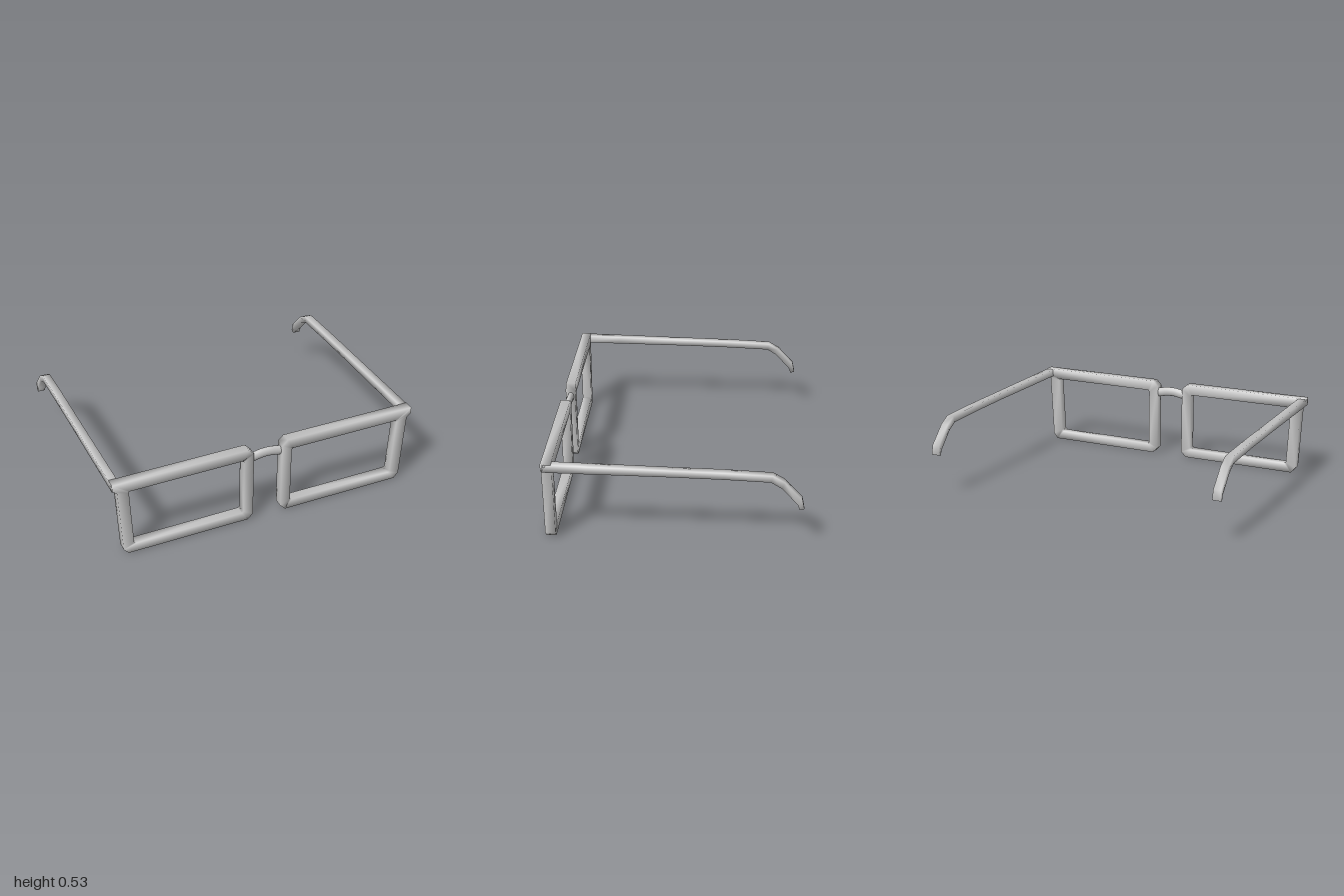
import * as THREE from 'three';

const material = new THREE.MeshStandardMaterial({ color: 0xcccccc });

// Square section in 0..1 by 0..1, counter-clockwise
const SECTION = [[0, 0], [1, 0], [1, 1], [0, 1]];

// Skin a list of equal cross-sections with smooth normals;
// closed joins last to first, otherwise the ends are capped. Flip reverses the winding.
function loft(rings, closed, flip) {
  const n = rings[0].length, count = rings.length, index = [];
  const tri = (a, b, d) => (flip ? index.push(a, d, b) : index.push(a, b, d));
  for (let i = 0; i < (closed ? count : count - 1); i++) {
    const p = i * n, q = ((i + 1) % count) * n;
    for (let j = 0; j < n; j++) {
      const k = (j + 1) % n;
      tri(p + j, p + k, q + j);
      tri(p + k, q + k, q + j);
    }
  }
  if (!closed) {
    const last = (count - 1) * n;
    for (let j = 1; j < n - 1; j++) {
      tri(0, j + 1, j);
      tri(last, last + j, last + j + 1);
    }
  }
  const geometry = new THREE.BufferGeometry();
  geometry.setAttribute('position', new THREE.Float32BufferAttribute(rings.flat(2), 3));
  geometry.setIndex(index);
  geometry.computeVertexNormals();
  return geometry;
}

function addMesh(parent, name, geometry) {
  const mesh = new THREE.Mesh(geometry, material);
  mesh.name = name;
  parent.add(mesh);
}

// Rim: matching inner and outer corners, [innerX, innerY, outerX, outerY], counter-clockwise
const RIM = [
  [0.17, 0.06, 0.13, 0.0],
  [0.87, 0.06, 0.92, 0.0],
  [0.882, 0.07, 0.95, 0.035],
  [0.9, 0.448, 0.972, 0.465],
  [0.9, 0.458, 1.0, 0.49],
  [0.895, 0.46, 1.0, 0.53],
  [0.17, 0.46, 0.13, 0.53],
  [0.16, 0.45, 0.095, 0.495],
  [0.16, 0.07, 0.095, 0.035],
];

function rimGeometry(side) {
  const rings = RIM.map(([ix, iy, ox, oy]) => SECTION.map(([s, t]) => [
    side * (ix + (ox - ix) * s), iy + (oy - iy) * s, 0.712 + 0.063 * t,
  ]));
  return loft(rings, true, side > 0);
}

// Temple: matching top and bottom points from hinge to ear tip, [topZ, topY, bottomZ, bottomY]
const TEMPLE = [
  [0.765, 0.528, 0.765, 0.478],
  [0.5, 0.522, 0.5, 0.474],
  [0, 0.51, 0, 0.468],
  [-0.3, 0.504, -0.3, 0.461],
  [-0.585, 0.492, -0.575, 0.45],
  [-0.655, 0.452, -0.64, 0.41],
  [-0.762, 0.338, -0.735, 0.305],
  [-0.775, 0.278, -0.747, 0.27],
];

function templeGeometry(side) {
  const rings = TEMPLE.map(([tz, ty, bz, by]) => SECTION.map(([s, t]) => [
    side * (0.95 + 0.05 * s), by + (ty - by) * t, bz + (tz - bz) * t,
  ]));
  return loft(rings, false, side > 0);
}

// Arched nose bridge with an oval section, its ends inside the rims
function bridgeGeometry() {
  const curve = new THREE.CatmullRomCurve3(
    [[-0.125, 0.445], [-0.08, 0.45], [-0.03, 0.459], [0.03, 0.459], [0.08, 0.45], [0.125, 0.445]]
      .map(([x, y]) => new THREE.Vector3(x, y, 0)));
  const geometry = new THREE.TubeGeometry(curve, 16, 0.031, 12);
  geometry.scale(1, 1, 0.68);
  geometry.translate(0, 0, 0.742);
  return geometry;
}

export function createModel() {
  const glasses = new THREE.Group();
  glasses.name = 'glasses';
  for (const [side, label] of [[1, 'left'], [-1, 'right']]) {
    addMesh(glasses, label + 'Rim', rimGeometry(side));
    addMesh(glasses, label + 'Temple', templeGeometry(side));
  }
  addMesh(glasses, 'bridge', bridgeGeometry());
  return glasses;
}
